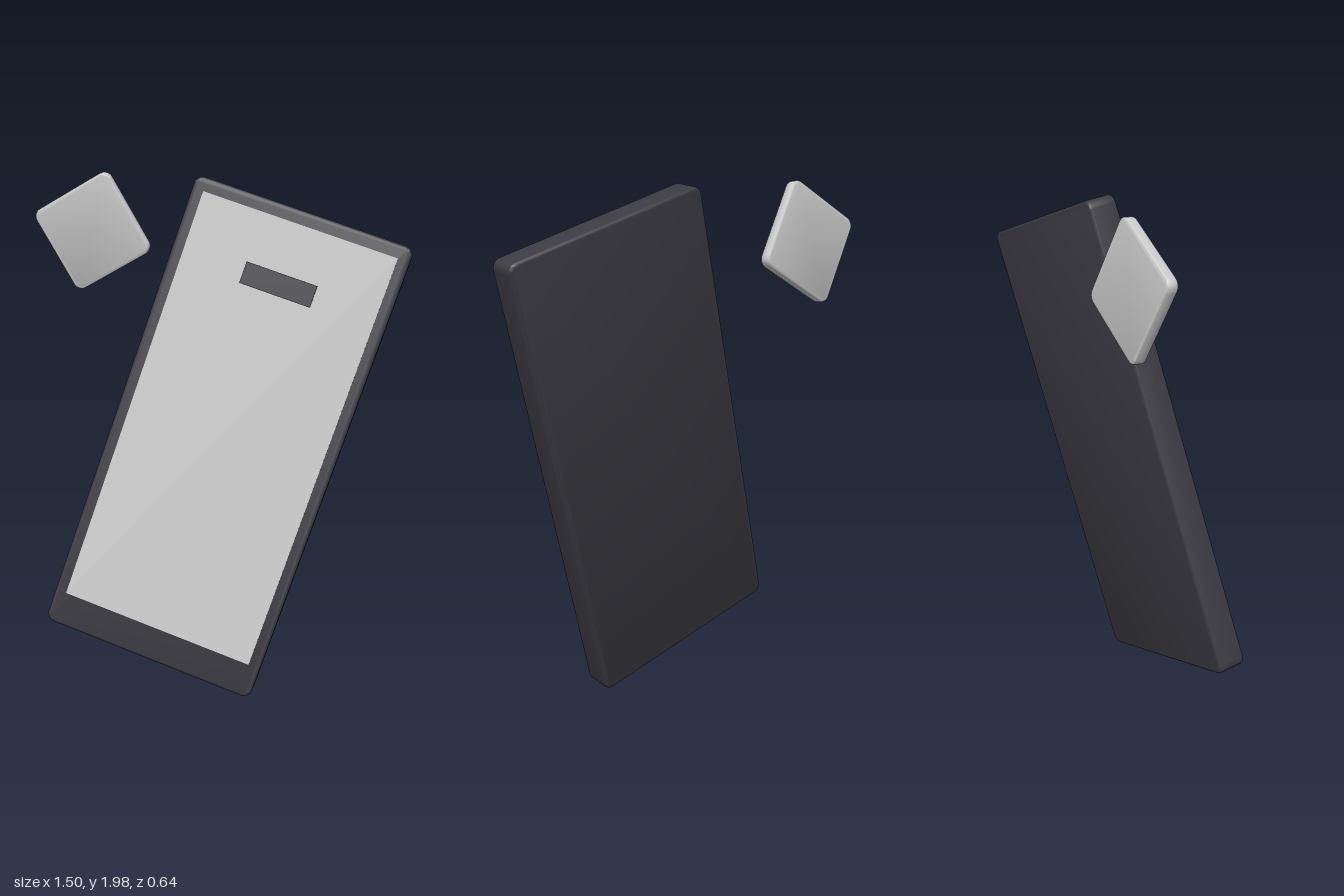
import * as THREE from 'three';
import { toCreasedNormals } from 'three/addons/utils/BufferGeometryUtils.js';

// Slab with rounded corners and softly bevelled rims, centred on its origin
function roundedSlab(w, h, depth, radius, bevel) {
  const x = w / 2 - bevel, y = h / 2 - bevel, r = radius - bevel;
  const s = new THREE.Shape();
  s.absarc(x - r, y - r, r, 0, Math.PI / 2);
  s.absarc(-x + r, y - r, r, Math.PI / 2, Math.PI);
  s.absarc(-x + r, -y + r, r, Math.PI, Math.PI * 1.5);
  s.absarc(x - r, -y + r, r, Math.PI * 1.5, Math.PI * 2);
  const geo = new THREE.ExtrudeGeometry(s, {
    depth: depth - 2 * bevel, bevelEnabled: true, bevelSize: bevel,
    bevelThickness: bevel, bevelSegments: 3, curveSegments: 4,
  });
  geo.translate(0, 0, -(depth - 2 * bevel) / 2);
  return toCreasedNormals(geo, 0.8);
}

// Turns a group so its local x and y follow the given directions
function orient(group, right, up) {
  const u = new THREE.Vector3(...right).normalize();
  const n = new THREE.Vector3().crossVectors(u, new THREE.Vector3(...up)).normalize();
  const v = new THREE.Vector3().crossVectors(n, u);
  group.quaternion.setFromRotationMatrix(new THREE.Matrix4().makeBasis(u, v, n));
}

function add(parent, name, geo, mat, x = 0, y = 0, z = 0) {
  const mesh = new THREE.Mesh(geo, mat);
  mesh.name = name;
  mesh.position.set(x, y, z);
  parent.add(mesh);
  return mesh;
}

export function createModel() {
  const darkCasing = new THREE.MeshStandardMaterial({ color: 0x3b3a42 });
  darkCasing.name = 'dark casing';
  const lightGrey = new THREE.MeshStandardMaterial({ color: 0xcacaca });
  lightGrey.name = 'light grey';

  const model = new THREE.Group();
  model.name = 'tiltedHandset';

  // Tilted handset: casing, screen plate and dark tab near the top
  const handset = new THREE.Group();
  handset.name = 'handset';
  handset.position.set(0.108, 0.998, 0);
  orient(handset, [0.929, -0.308, -0.207], [0.269, 0.941, -0.204]);
  add(handset, 'casing', roundedSlab(0.856, 1.818, 0.113, 0.035, 0.012), darkCasing);
  add(handset, 'screen', new THREE.BoxGeometry(0.764, 1.636, 0.008), lightGrey, 0, 0.039, 0.057);
  add(handset, 'screenTab', new THREE.BoxGeometry(0.279, 0.084, 0.009), darkCasing, 0, 0.624, 0.064);
  model.add(handset);

  // Small floating tile beside the top of the handset
  const tileGroup = new THREE.Group();
  tileGroup.name = 'floatingTile';
  tileGroup.position.set(-0.528, 1.762, -0.13);
  orient(tileGroup, [0.30, 0.17, -0.06], [-0.165, 0.31, 0.07]);
  add(tileGroup, 'tile', roundedSlab(0.355, 0.36, 0.044, 0.035, 0.009), lightGrey);
  model.add(tileGroup);

  return model;
}
